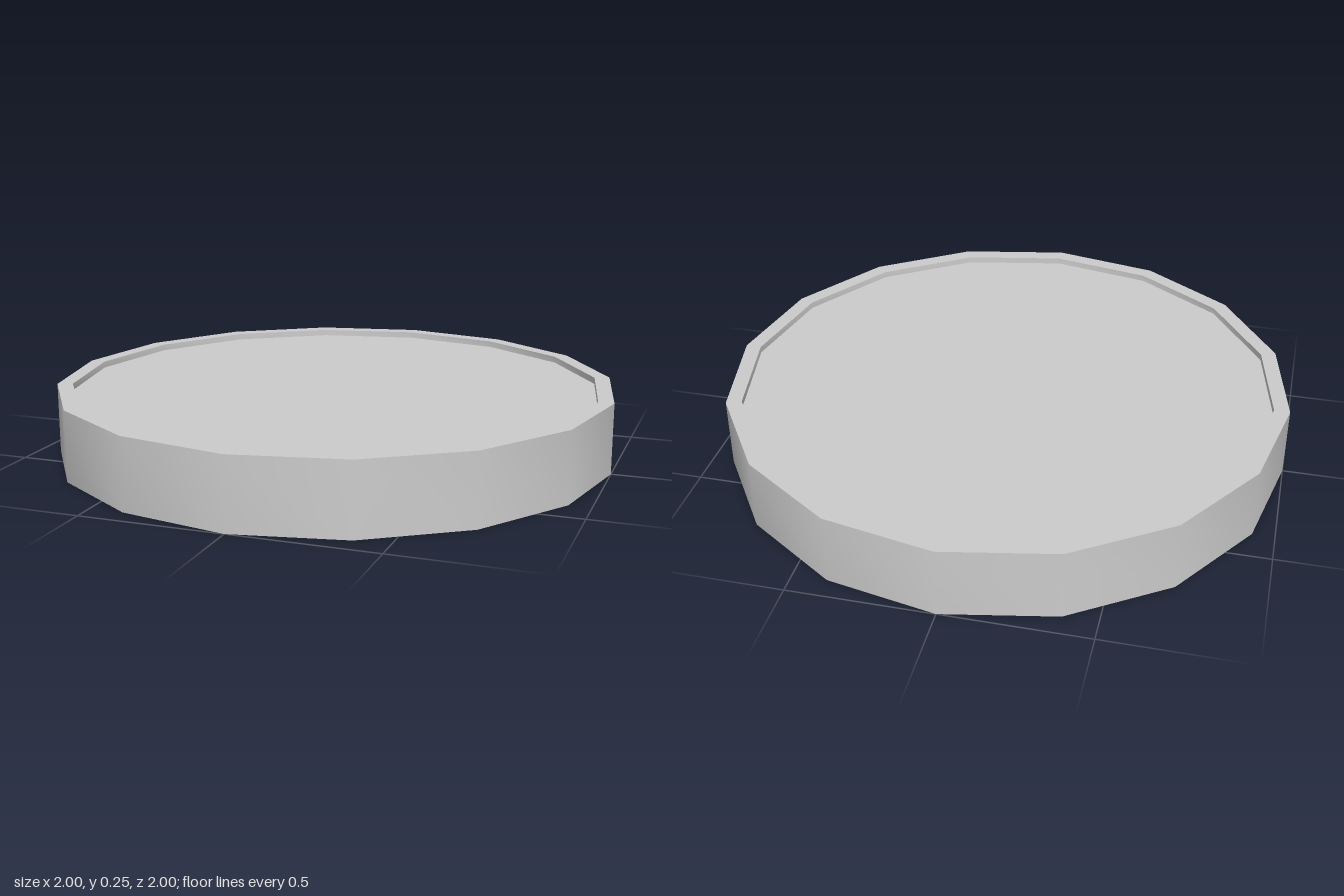
import * as THREE from 'three';
import { toCreasedNormals } from 'three/addons/utils/BufferGeometryUtils.js';

const SIDES = 16, OUTER = 1, INNER = 0.945, HEIGHT = 0.25, RECESS = 0.023;

export function createModel() {
  const group = new THREE.Group();
  group.name = 'disc';
  const material = new THREE.MeshStandardMaterial({ color: 0xcccccc });

  const add = (name, geometry) => {
    const mesh = new THREE.Mesh(geometry, material);
    mesh.name = name;
    group.add(mesh);
    return mesh;
  };

  // Rim: outer wall with a raised lip on both faces
  const profile = [
    [INNER, RECESS], [INNER, 0], [OUTER, 0],
    [OUTER, HEIGHT], [INNER, HEIGHT], [INNER, HEIGHT - RECESS],
  ].map(([x, y]) => new THREE.Vector2(x, y));
  add('rim', toCreasedNormals(new THREE.LatheGeometry(profile, SIDES), Math.PI / 6));

  // Flat panels set slightly inside the lips
  const panel = new THREE.CircleGeometry(INNER, SIDES);
  const top = add('topPanel', panel);
  top.rotation.x = -Math.PI / 2;
  top.position.y = HEIGHT - RECESS;
  const bottom = add('bottomPanel', panel);
  bottom.rotation.x = Math.PI / 2;
  bottom.position.y = RECESS;

  return group;
}
